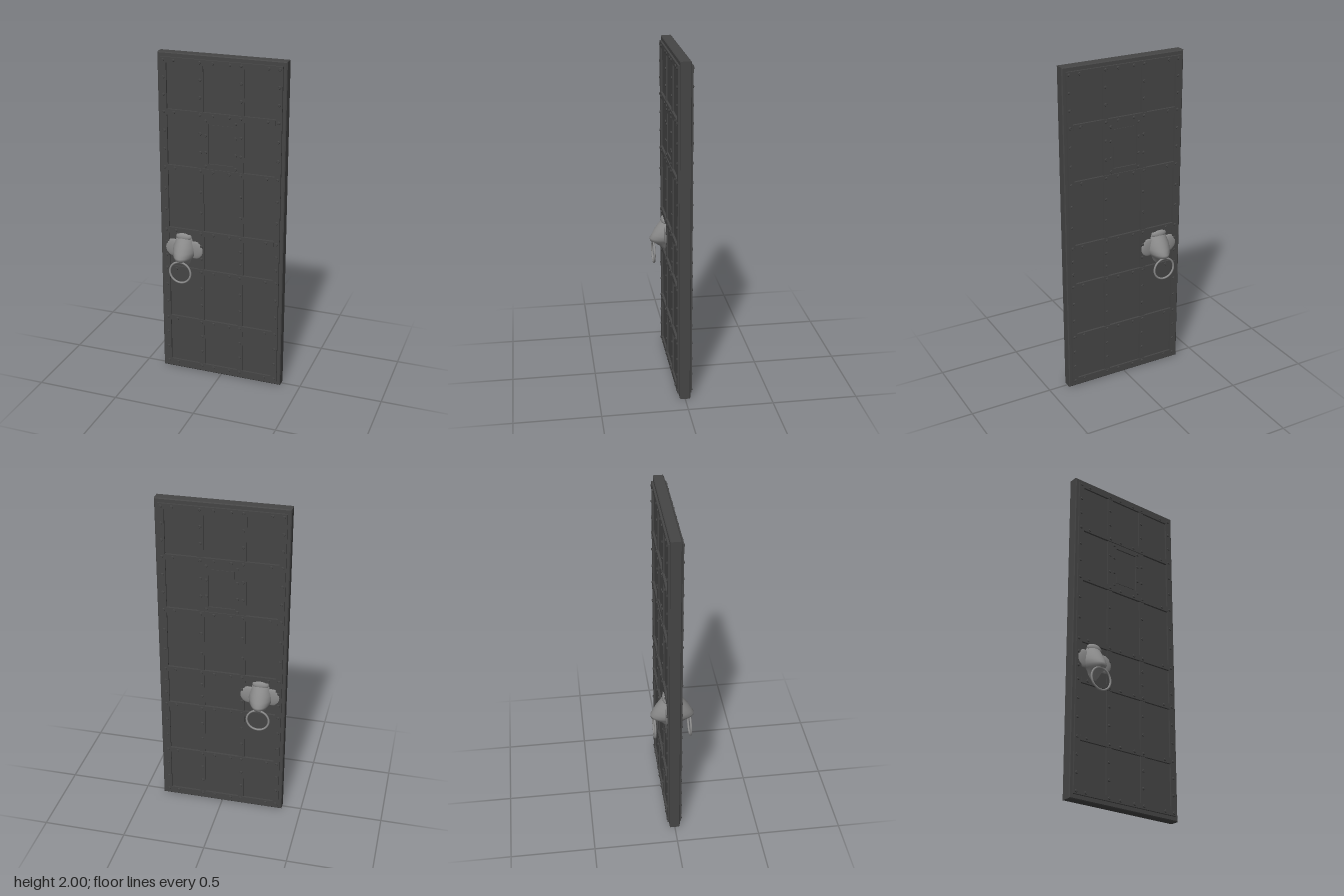
import * as THREE from 'three';
import { mergeGeometries } from 'three/addons/utils/BufferGeometryUtils.js';

const iron = new THREE.MeshStandardMaterial({ color: 0x454545 });
iron.name = 'dark iron';
const steel = new THREE.MeshStandardMaterial({ color: 0x8a8a8a });
steel.name = 'grey steel';

const KNOCKER_X = -0.233;

function add(parent, name, geometry, material) {
  const mesh = new THREE.Mesh(geometry, material);
  mesh.name = name;
  parent.add(mesh);
  return mesh;
}

// Strip between two x and two y values, standing out from the door to z = top
function strip(x0, x1, y0, y1, top) {
  return new THREE.BoxGeometry(x1 - x0, y1 - y0, top - 0.02)
    .translate((x0 + x1) / 2, (y0 + y1) / 2, (top + 0.02) / 2);
}

function rivet(x, y, base) {
  return new THREE.CylinderGeometry(0.007, 0.01, 0.006, 8)
    .rotateX(Math.PI / 2).translate(x, y, base + 0.002);
}

// Animal head lofted from half-oval sections: [y, half width, front z]
function headGeometry() {
  const sections = [
    [0.705, 0.018, 0.045], [0.73, 0.036, 0.065], [0.752, 0.044, 0.1],
    [0.766, 0.056, 0.125], [0.785, 0.068, 0.127], [0.81, 0.072, 0.112],
    [0.84, 0.068, 0.096], [0.87, 0.056, 0.074], [0.895, 0.05, 0.055], [0.915, 0.032, 0.042],
  ];
  const n = 20, points = [], faces = [];
  for (const [y, w, front] of sections) {
    for (let i = 0; i <= n; i++) {
      const a = Math.PI * i / n;
      points.push(-Math.cos(a) * w, y, 0.025 + (front - 0.025) * Math.pow(Math.sin(a), 1.25));
    }
  }
  for (let j = 0; j < sections.length - 1; j++) {
    for (let i = 0; i < n; i++) {
      const a = j * (n + 1) + i, b = a + n + 1;
      faces.push(a, a + 1, b, a + 1, b + 1, b);
    }
  }
  // Close the chin and the crown
  const last = (sections.length - 1) * (n + 1);
  for (let i = 1; i < n; i++) {
    faces.push(0, i + 1, i, last, last + i, last + i + 1);
  }
  const geometry = new THREE.BufferGeometry();
  geometry.setAttribute('position', new THREE.Float32BufferAttribute(points, 3));
  geometry.setIndex(faces);
  geometry.computeVertexNormals();
  return geometry;
}

function makeKnocker() {
  const knocker = new THREE.Group();
  knocker.name = 'knocker';
  add(knocker, 'head', headGeometry(), steel);
  const crown = add(knocker, 'crown', new THREE.SphereGeometry(1, 20, 12), steel);
  crown.scale.set(0.05, 0.028, 0.022);
  crown.position.set(0, 0.897, 0.036);
  for (const side of [-1, 1]) {
    const ear = add(knocker, 'ear', new THREE.SphereGeometry(1, 20, 12), steel);
    ear.scale.set(0.052, 0.056, 0.012);
    ear.position.set(side * 0.07, 0.82, 0.036);
  }
  const ring = add(knocker, 'ring', new THREE.TorusGeometry(0.066, 0.006, 10, 40), steel);
  ring.position.set(0, 0.692, 0.104);
  return knocker;
}

// Everything fixed to one face of the door
function makeFace(name, knockerX) {
  const face = new THREE.Group();
  face.name = name;
  const edge = 0.042, cross = 0.044, hatch = 0.036;
  const rivets = [];

  // Border straps
  add(face, 'borderStraps', mergeGeometries([
    strip(-0.36, -0.325, 0.027, 1.975, edge), strip(0.325, 0.36, 0.027, 1.975, edge),
    strip(-0.325, 0.325, 0.027, 0.058, edge), strip(-0.325, 0.325, 1.942, 1.975, edge),
  ]), iron);

  // Upright straps
  const uprights = [-0.122, 0.122];
  add(face, 'uprightStraps', mergeGeometries(
    uprights.map(x => strip(x - 0.018, x + 0.018, 0.058, 1.942, 0.039))), iron);

  // Cross straps
  const crossYs = [0.347, 0.684, 0.933, 1.325, 1.659];
  add(face, 'crossStraps', mergeGeometries(
    crossYs.map(y => strip(-0.325, 0.325, y - 0.017, y + 0.017, cross))), iron);

  // Hatch frame with a raised shutter
  add(face, 'hatchFrame', mergeGeometries([
    strip(-0.104, -0.076, 1.342, 1.642, hatch + 0.003), strip(0.076, 0.104, 1.342, 1.642, hatch + 0.003),
    strip(-0.076, 0.076, 1.342, 1.373, hatch + 0.003), strip(-0.076, 0.076, 1.611, 1.642, hatch + 0.003),
  ]), iron);
  add(face, 'hatchShutter', strip(-0.07, 0.07, 1.379, 1.605, 0.034), iron);

  // Rivets along every strap
  const rows = [0.043, ...crossYs, 1.958];
  rows.forEach((y, r) => {
    const base = r === 0 || r === rows.length - 1 ? edge : cross;
    for (const x of [-0.28, -0.122, -0.045, 0.055, 0.122, 0.28]) rivets.push(rivet(x, y, base));
    for (const x of [-0.343, 0.343]) rivets.push(rivet(x, y, edge));
    if (r === rows.length - 1) return;
    for (const t of [1 / 3, 2 / 3]) {
      const ry = y + (rows[r + 1] - y) * t;
      for (const x of [-0.343, 0.343]) rivets.push(rivet(x, ry, edge));
      for (const x of uprights) rivets.push(rivet(x, ry, 0.039));
    }
  });
  for (const x of [-0.09, 0.09]) {
    for (const y of [1.358, 1.44, 1.54, 1.626]) rivets.push(rivet(x, y, hatch + 0.003));
  }
  add(face, 'rivets', mergeGeometries(rivets), iron);

  const knocker = makeKnocker();
  knocker.position.x = knockerX;
  face.add(knocker);
  return face;
}

export function createModel() {
  const door = new THREE.Group();
  door.name = 'door';

  // Door slab with a small bevel on its outer edge
  const b = 0.005, w = 0.381 - b;
  const outline = new THREE.Shape([
    new THREE.Vector2(-w, b), new THREE.Vector2(w, b),
    new THREE.Vector2(w, 2 - b), new THREE.Vector2(-w, 2 - b),
  ]);
  const slab = new THREE.ExtrudeGeometry(outline, {
    depth: 0.052, bevelEnabled: true, bevelSize: b, bevelThickness: b, bevelSegments: 1,
  }).translate(0, 0, -0.026);
  add(door, 'slab', slab, iron);

  // The back carries the same fittings, turned round
  door.add(makeFace('frontFace', KNOCKER_X));
  const back = makeFace('backFace', -KNOCKER_X);
  back.rotation.y = Math.PI;
  door.add(back);
  return door;
}
